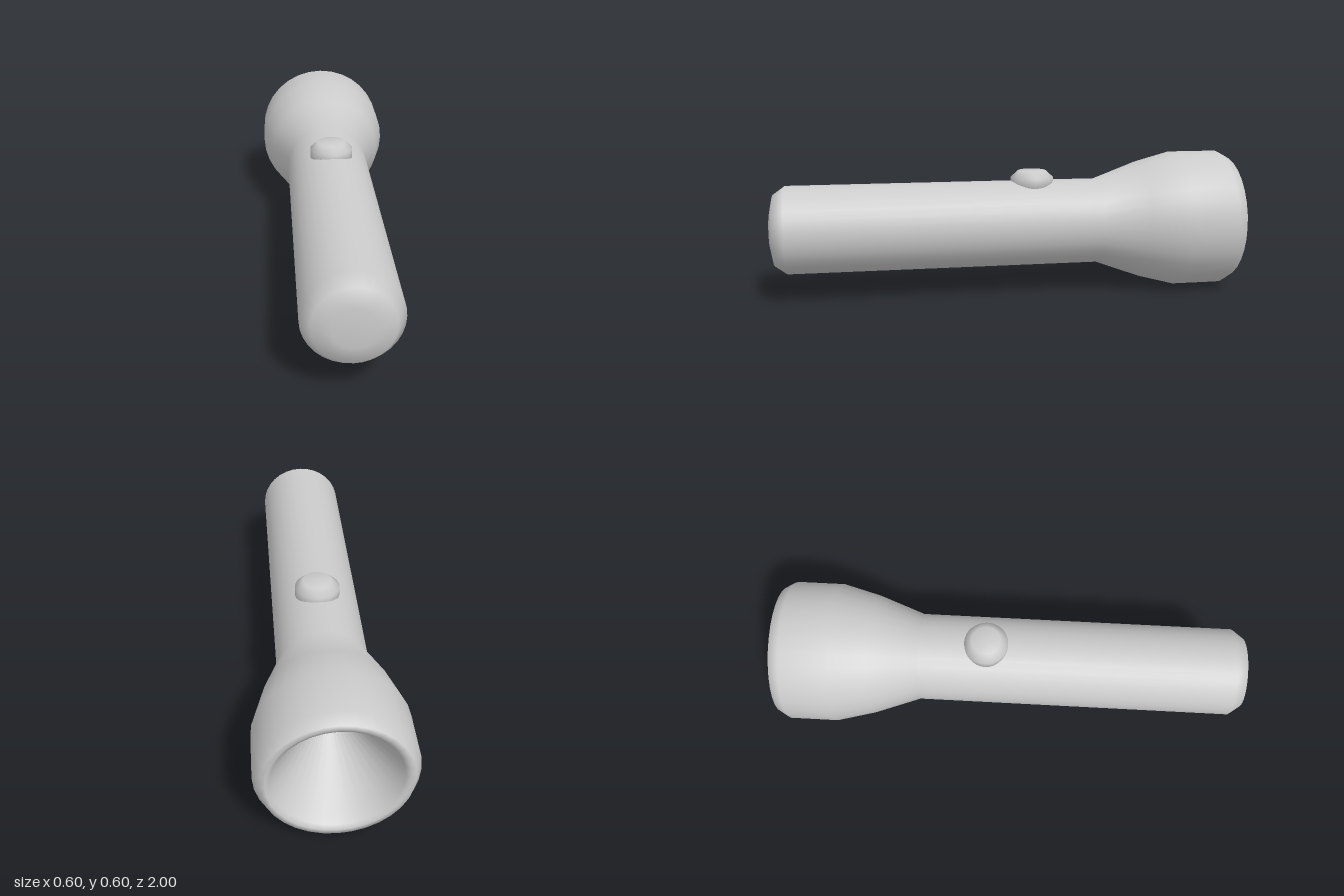
import * as THREE from 'three';

const material = new THREE.MeshStandardMaterial({ color: 0xcccccc });
const AXIS_Y = 0.299;

// Smooth turned part from [radius, height] pairs, listed so that faces point outward
function turned(name, profile, sides) {
  const points = profile.map(([r, h]) => new THREE.Vector2(r, h));
  const mesh = new THREE.Mesh(new THREE.LatheGeometry(points, sides), material);
  mesh.name = name;
  return mesh;
}

export function createModel() {
  const model = new THREE.Group();
  model.name = 'flashlight';

  // Reflector cone, rounded lip, flared head, straight barrel and rounded end cap
  const body = turned('body', [
    [0, -0.6], [0.225, -0.96], [0.238, -0.99], [0.255, -1], [0.274, -1],
    [0.299, -0.955], [0.299, -0.755], [0.257, -0.595], [0.186, -0.4],
    [0.186, 0.935], [0.15, 0.985], [0.08, 1], [0, 1],
  ], 32);
  body.rotation.x = Math.PI / 2;
  body.position.y = AXIS_Y;

  // Round push button, sunk into the barrel
  const button = turned('button', [
    [0, 0.43], [0.092, 0.43], [0.092, 0.5], [0.06, 0.529], [0, 0.529],
  ], 32);
  button.position.z = -0.115;

  model.add(body, button);
  return model;
}
